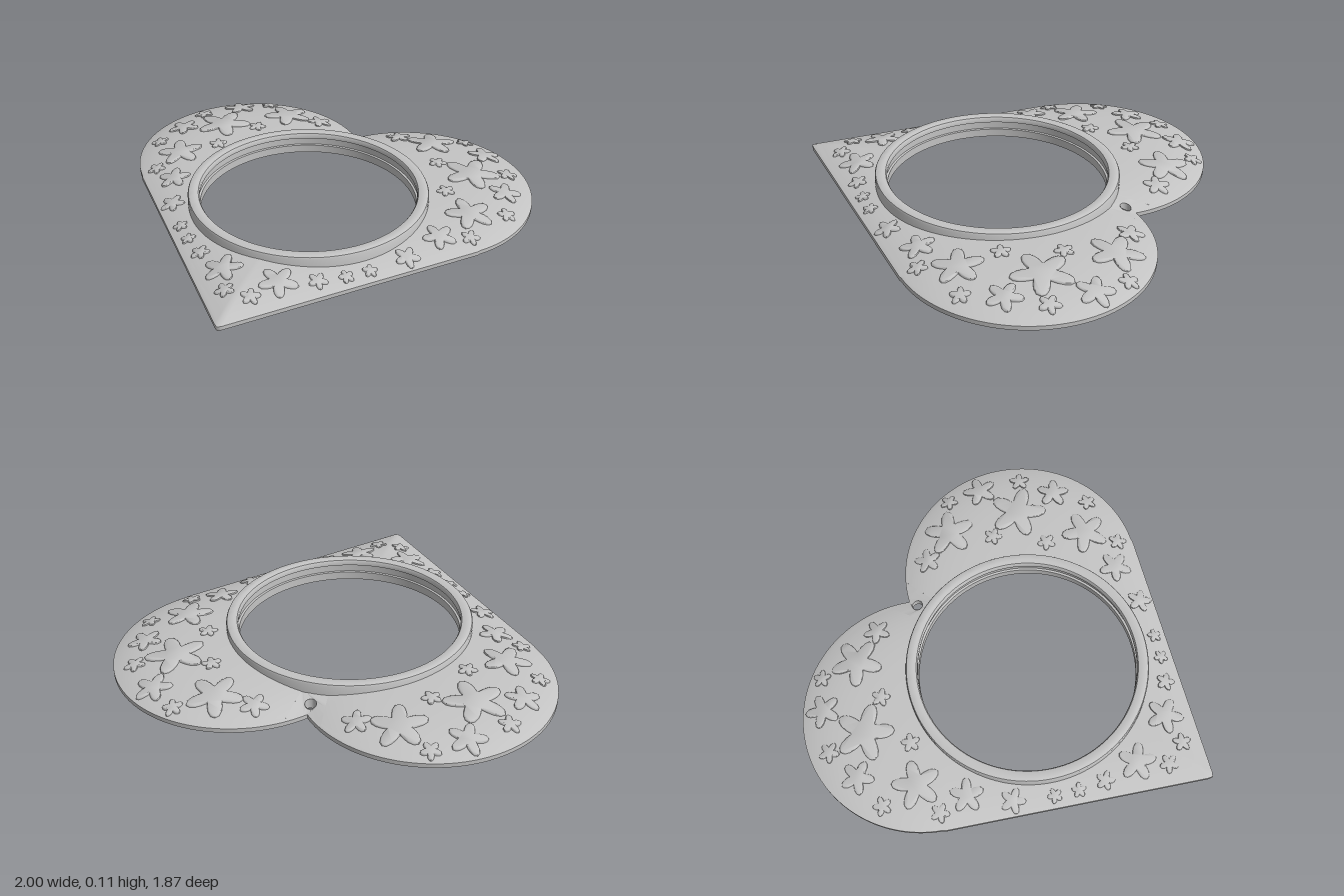
import * as THREE from 'three';
import { toCreasedNormals } from 'three/addons/utils/BufferGeometryUtils.js';

const CZ = -0.07;                       // centre of the round opening
const STEPS = 360, GAP = 6, ROWS = 14;  // GAP columns each side of the notch are patched
const RING_IN = 0.555, BASE = 0.004;    // BASE is the height of the flat underside
const angleAt = (i) => (i / STEPS) * Math.PI * 2;

// Distance from the opening's centre to the heart outline; angle 0 is the notch, PI the tip
function reach(angle) {
  const s = Math.abs(Math.sin(angle)), c = -Math.cos(angle);
  const lobeEnd = Math.atan2(0.848, -0.087);
  if (Math.acos(-c) > lobeEnd) return Math.min(0.685 / (0.733 * s + 0.681 * c), 1.0);
  const b = 0.43 * s - 0.3 * c;
  return b + Math.sqrt(b * b - 0.43 ** 2 - 0.3 ** 2 + 0.57 ** 2);
}

function polar(angle, r) {
  return [Math.sin(angle) * r, CZ - Math.cos(angle) * r];
}

const outline = Array.from({ length: STEPS }, (_, i) => polar(angleAt(i), reach(angleAt(i))));

// Domed surface: rises quickly from the rim, then levels off
function topY(x, z) {
  let d = Infinity;
  for (const [ox, oz] of outline) d = Math.min(d, (x - ox) ** 2 + (z - oz) ** 2);
  return 0.02 + 0.06 * (1 - Math.exp(-Math.sqrt(d) / 0.15));
}

// Lifts every vertex of a geometry by the dome height below it
function drape(g, from = -Infinity) {
  const p = g.attributes.position;
  for (let k = 0; k < p.count; k++) {
    if (p.getY(k) >= from) p.setY(k, p.getY(k) + topY(p.getX(k), p.getZ(k)));
  }
  g.computeVertexNormals();
  return g;
}

// Point on the heart at column i, row j (row 0 at the ring, last row on the outline)
function plan(i, j) {
  const a = angleAt(i), t = 1 - (1 - j / ROWS) ** 1.6;
  return polar(a, RING_IN + (reach(a) - RING_IN) * t);
}

// Surface from a grid of points
function sheet(first, last, rows, point) {
  const pos = [], index = [], w = rows + 1;
  for (let i = first; i <= last; i++) {
    for (let j = 0; j <= rows; j++) {
      pos.push(...point(i, j));
      if (i < last && j < rows) {
        const a = (i - first) * w + j;
        index.push(a, a + w, a + 1, a + 1, a + w, a + w + 1);
      }
    }
  }
  const g = new THREE.BufferGeometry();
  g.setAttribute('position', new THREE.Float32BufferAttribute(pos, 3));
  g.setIndex(index);
  g.computeVertexNormals();
  return g;
}

const toPoints = (list) => list.map(([x, z]) => new THREE.Vector2(x, -z));

function circleHole(z, r) {
  return new THREE.Path().absarc(0, -z, r, 0, Math.PI * 2, true);
}

// Small piece below the notch, pierced by the hanging hole
function notchPatch() {
  const pts = [];
  for (let j = 0; j < ROWS; j++) pts.push(plan(GAP, j));
  for (let i = GAP; i >= -GAP; i--) pts.push(plan(i, ROWS));
  for (let j = ROWS - 1; j >= 0; j--) pts.push(plan(-GAP, j));
  const shape = new THREE.Shape(toPoints(pts));
  shape.holes.push(circleHole(-0.695, 0.025));
  return drape(new THREE.ShapeGeometry(shape, 24).rotateX(-Math.PI / 2));
}

// Flat underside with the opening and the hanging hole, facing down
function underside() {
  const shape = new THREE.Shape(toPoints(outline));
  shape.holes.push(circleHole(CZ, 0.515), circleHole(-0.695, 0.025));
  const g = new THREE.ShapeGeometry(shape, 64);
  g.index.array.reverse();
  g.rotateX(-Math.PI / 2).translate(0, BASE, 0);
  g.computeVertexNormals();
  return g;
}

// Thin lip that follows the outline below the underside
function lip() {
  const shape = new THREE.Shape(toPoints(outline));
  const inner = outline.map((_, i) => polar(angleAt(i), reach(angleAt(i)) * 0.97));
  shape.holes.push(new THREE.Path(toPoints(inner)));
  return new THREE.ExtrudeGeometry(shape, { depth: BASE, bevelEnabled: false }).rotateX(-Math.PI / 2);
}

// Rounded five-petalled star lying flat at x, z
function starGeometry(x, z, radius, turn, options) {
  const pts = [];
  for (let k = 0; k < 50; k++) {
    const a = (k / 50) * Math.PI * 2;
    const r = radius * (0.7 + 0.3 * Math.cos(5 * a));
    pts.push(new THREE.Vector2(Math.cos(a + turn) * r, Math.sin(a + turn) * r));
  }
  return new THREE.ExtrudeGeometry(new THREE.Shape(pts), options).rotateX(-Math.PI / 2).translate(x, 0, z);
}

export function createModel() {
  const group = new THREE.Group();
  const grey = new THREE.MeshStandardMaterial({ color: 0xc4c4c4, side: THREE.DoubleSide });
  grey.name = 'plain grey';
  const add = (name, geometry) => {
    const mesh = new THREE.Mesh(geometry, grey);
    mesh.name = name;
    group.add(mesh);
    return mesh;
  };

  // Heart body: domed top, rim edge and flat underside
  add('heartTop', sheet(GAP, STEPS - GAP, ROWS, (i, j) => {
    const [x, z] = plan(i, j);
    return [x, topY(x, z), z];
  }));
  add('heartRim', sheet(0, STEPS, 1, (i, j) => {
    const [x, z] = plan(i, ROWS);
    return [x, j ? 0 : 0.02, z];
  }));
  add('notchTop', notchPatch());
  add('heartUnderside', underside());
  add('undersideLip', lip());

  // Wall of the hanging hole, its top edge meeting the dome
  const wall = new THREE.CylinderGeometry(0.025, 0.025, BASE, 24, 1, true);
  add('hangingHole', drape(wall.translate(0, -BASE / 2, -0.695), -BASE / 2)).position.y = BASE;
  wall.translate(0, 0, 0);

  // Raised frame ring: rounded top, grooved inner wall
  const profile = [
    [0.57, BASE], [0.57, 0.098], [0.566, 0.106], [0.558, 0.11], [0.535, 0.11], [0.52, 0.106],
    [0.515, 0.098], [0.515, 0.08], [0.525, 0.078], [0.525, 0.042], [0.515, 0.04], [0.515, 0],
    [0.55, 0], [0.55, BASE],
  ].map(([r, y]) => new THREE.Vector2(r, y));
  add('frameRing', toCreasedNormals(new THREE.LatheGeometry(profile, 128), 0.6)).position.z = CZ;

  // Stars above and below, mirrored left and right: x, z, radius
  const stars = [
    [0.67, -0.54, 0.135], [0.4, -0.77, 0.12], [0.75, -0.2, 0.11], [0.13, 0.6, 0.085],
    [0.86, -0.45, 0.075], [0.68, -0.77, 0.08], [0.67, 0.02, 0.075], [0.58, 0.21, 0.055],
    [0.22, -0.78, 0.06], [0.6, -0.33, 0.04], [0.49, -0.57, 0.04], [0.83, -0.63, 0.045],
    [0.91, -0.28, 0.04], [0.55, -0.87, 0.04], [0.8, -0.04, 0.04], [0.46, 0.36, 0.03],
    [0.38, 0.44, 0.03], [0.28, 0.52, 0.04], [0.06, 0.73, 0.04],
  ];
  const raised = { depth: 0.001, bevelThickness: 0.008, bevelSize: 0.005, bevelSegments: 2 };
  const flat = { depth: BASE, bevelEnabled: false };
  stars.forEach(([x, z, r], n) => {
    for (const side of [1, -1]) {
      const turn = Math.PI / 2 + side * n * 0.37;
      const name = side > 0 ? 'leftStar' : 'rightStar';
      add(name, toCreasedNormals(drape(starGeometry(side * x, z, r, turn, raised)), 0.8));
      add(name + 'Underside', starGeometry(side * x, z, r, turn, flat));
    }
  });

  return group;
}
